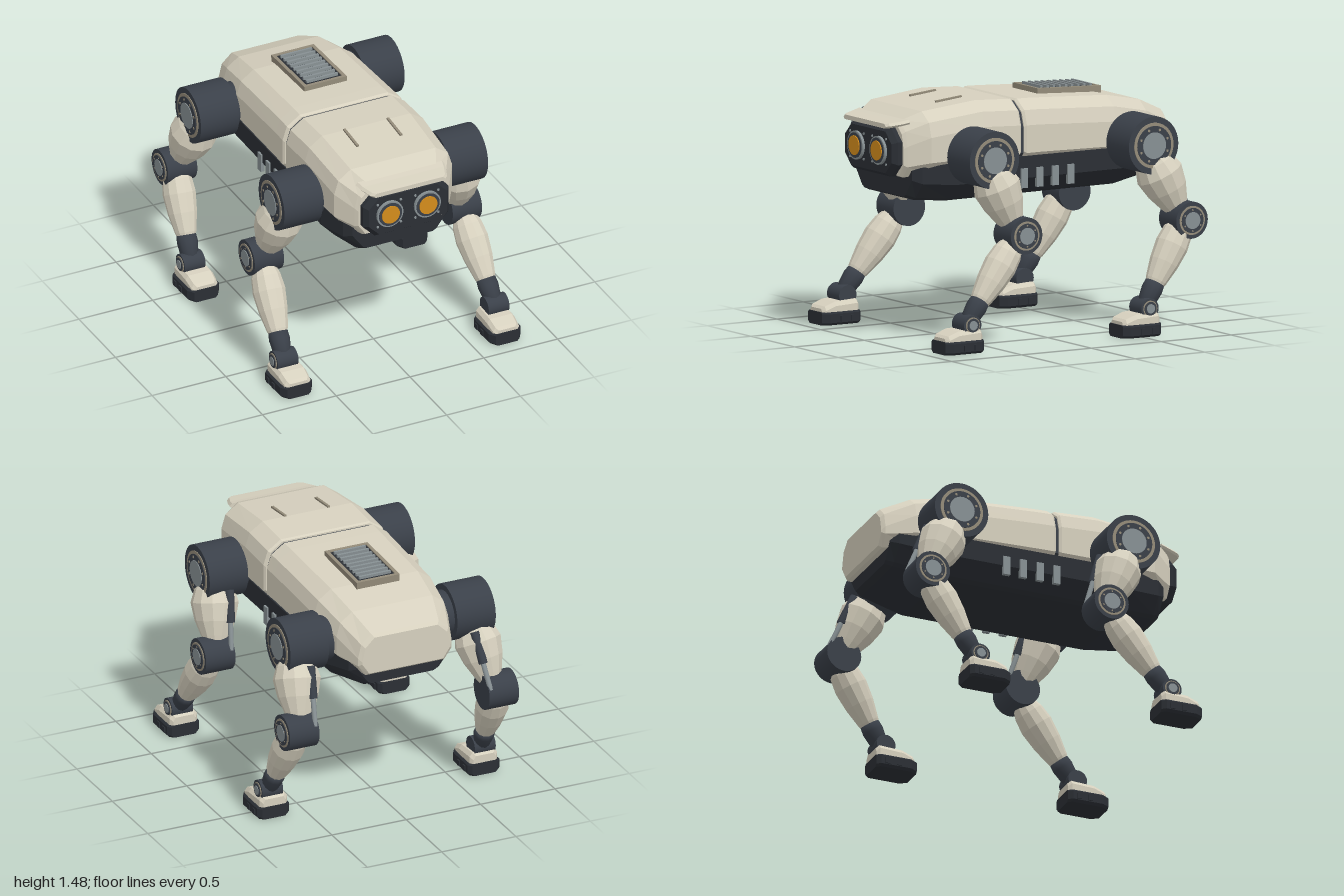
import * as THREE from 'three';

const mat = (name, color, flat = false) => {
  const m = new THREE.MeshStandardMaterial({ color, flatShading: flat });
  m.name = name;
  return m;
};
const shell = mat('shell cream', 0xd6d0be, true);
const dark = mat('joint slate', 0x3a4049);
const black = mat('belly charcoal', 0x2b2f35, true);
const grey = mat('metal grey', 0x879093);
const trim = mat('trim tan', 0x938b79);
const amber = mat('lens amber', 0xd48c1c);

function add(parent, name, geo, material, x = 0, y = 0, z = 0) {
  const m = new THREE.Mesh(geo, material);
  m.name = name;
  m.position.set(x, y, z);
  parent.add(m);
  return m;
}
const box = (w, h, d) => new THREE.BoxGeometry(w, h, d);

// symmetric cross-section: the right half listed from bottom to top, then mirrored
function section(half, z, cx = 0) {
  const left = half.map(([x, y]) => [-x, y]).reverse();
  return [...half, ...left].map(([x, y]) => [cx + x, y, z]);
}

// closed loft through sections ordered from back to front
function loft(rings) {
  const p = [], n = rings[0].length;
  for (let r = 0; r + 1 < rings.length; r++) {
    for (let i = 0; i < n; i++) {
      const j = (i + 1) % n, A = rings[r], B = rings[r + 1];
      p.push(...A[i], ...A[j], ...B[j], ...A[i], ...B[j], ...B[i]);
    }
  }
  const first = rings[0], last = rings[rings.length - 1];
  for (let i = 1; i + 1 < n; i++) {
    p.push(...last[0], ...last[i], ...last[i + 1]);
    p.push(...first[0], ...first[i + 1], ...first[i]);
  }
  const g = new THREE.BufferGeometry();
  g.setAttribute('position', new THREE.Float32BufferAttribute(p, 3));
  g.computeVertexNormals();
  return g;
}

const shellRing = ([z, w, top, bottom]) => section([
  [w * 0.84, bottom], [w, bottom + 0.07], [w, top - 0.15], [w * 0.93, top - 0.06], [w * 0.72, top],
], z);
const bellyRing = ([z, w, bottom, top]) => section([
  [w * 0.7, bottom], [w * 0.78, bottom + 0.015], [w, bottom + 0.11], [w, top],
], z);
const octRing = (z, w, h, cut, cy) => section([
  [w - cut, cy - h], [w, cy - h + cut], [w, cy + h - cut], [w - cut, cy + h],
], z);

// cylinder lying along x, or along z for the lenses
function drum(parent, name, x, y, z, r, len, material, axis = 'x') {
  const g = new THREE.CylinderGeometry(r, r, len, 40);
  if (axis === 'x') g.rotateZ(Math.PI / 2); else g.rotateX(Math.PI / 2);
  return add(parent, name, g, material, x, y, z);
}

// turned limb from lower point a towards upper point b; profile is [distance, radius]
function limb(parent, name, a, b, profile, material, sides = 12) {
  const g = new THREE.LatheGeometry(profile.map(([t, r]) => new THREE.Vector2(r, t)), sides);
  const m = add(parent, name, g, material, ...a);
  const dir = new THREE.Vector3(...b).sub(new THREE.Vector3(...a)).normalize();
  m.quaternion.setFromUnitVectors(new THREE.Vector3(0, 1, 0), dir);
  return m;
}

// round joint with a stepped, bolted cap on its outer end
function joint(parent, name, s, x0, x1, y, z, r, bolts) {
  const g = new THREE.Group();
  g.name = name;
  parent.add(g);
  drum(g, 'housing', s * (x0 + x1) / 2, y, z, r, x1 - x0, dark);
  [[0.79, trim], [0.68, dark], [0.46, grey]].forEach(([k, m], i) =>
    drum(g, 'cap', s * (x1 + 0.002 + i * 0.003), y, z, r * k, 0.005 + i * 0.002, m));
  for (let i = 0; i < bolts; i++) {
    const a = (i + 0.5) / bolts * Math.PI * 2;
    drum(g, 'bolt', s * (x1 + 0.007), y + Math.sin(a) * r * 0.57, z + Math.cos(a) * r * 0.57, r * 0.045, 0.008, trim);
  }
}

function leg(parent, name, s, hipZ, kneeZ, ankleZ) {
  const g = new THREE.Group();
  g.name = name;
  parent.add(g);
  const knee = [s * 0.673, 0.685, kneeZ], ankle = [s * 0.715, 0.17, ankleZ];

  drum(g, 'hipCollar', s * 0.41, 1.153, hipZ, 0.14, 0.08, dark);
  joint(g, 'hip', s, 0.432, 0.69, 1.153, hipZ, 0.177, 8);
  limb(g, 'thigh', [s * 0.65, 0.685, kneeZ], [s * 0.58, 1.153, hipZ],
    [[0.05, 0], [0.05, 0.065], [0.11, 0.09], [0.2, 0.125], [0.31, 0.147], [0.39, 0.122], [0.46, 0.08], [0.46, 0]], shell);
  joint(g, 'knee', s, 0.572, 0.77, 0.685, kneeZ, 0.113, 6);
  limb(g, 'shin', ankle, knee,
    [[0.15, 0], [0.15, 0.055], [0.18, 0.066], [0.3, 0.09], [0.42, 0.102], [0.51, 0.092], [0.575, 0.07], [0.575, 0]], shell);
  limb(g, 'ankleStrut', ankle, knee, [[0, 0], [0, 0.05], [0.12, 0.065], [0.17, 0.06], [0.17, 0]], dark);
  joint(g, 'ankle', s, 0.645, 0.785, 0.17, ankleZ, 0.062, 0);

  // push rod behind the thigh
  const low = [s * 0.59, 0.73, kneeZ - 0.09], high = [s * 0.55, 1.08, hipZ - 0.16];
  limb(g, 'pushRod', low, high, [[0, 0], [0, 0.016], [0.25, 0.016], [0.25, 0]], grey);
  limb(g, 'rodSleeve', low, high, [[0.17, 0], [0.17, 0.028], [0.37, 0.028], [0.37, 0]], dark);

  // foot: dark sole with side studs, cream upper
  const cx = s * 0.707;
  add(g, 'sole', loft([[-0.075, 0.085], [-0.05, 0.108], [0.15, 0.108], [0.195, 0.08]].map(([z, w]) =>
    section([[w - 0.015, 0], [w, 0.015], [w, 0.07], [w - 0.01, 0.08]], ankleZ + z, cx))), black);
  add(g, 'footUpper', loft([[-0.07, 0.075, 0.13], [-0.05, 0.093, 0.148], [0.1, 0.093, 0.14], [0.17, 0.088, 0.115], [0.188, 0.07, 0.1]].map(([z, w, top]) =>
    section([[w, 0.078], [w, top - 0.025], [w * 0.8, top]], ankleZ + z, cx))), shell);
  for (const side of [-1, 1]) for (const z of [-0.01, 0.065])
    add(g, 'soleStud', box(0.014, 0.036, 0.03), black, cx + side * 0.108, 0.038, ankleZ + z);
}

export function createModel() {
  const model = new THREE.Group();
  model.name = 'robotQuadruped';

  // body shells, seam and belly
  add(model, 'rearShell', loft([
    [-1, 0.295, 1.27, 1.035], [-0.98, 0.315, 1.29, 1.02], [-0.8, 0.375, 1.37, 1.035], [-0.55, 0.405, 1.42, 1.05],
    [0, 0.412, 1.448, 1.06], [0.095, 0.415, 1.45, 1.06], [0.11, 0.405, 1.44, 1.07]].map(shellRing)), shell);
  add(model, 'frontShell', loft([
    [0.13, 0.405, 1.445, 1.07], [0.145, 0.415, 1.453, 1.06], [0.4, 0.415, 1.465, 1.06],
    [0.77, 0.4, 1.425, 1.05], [0.89, 0.32, 1.37, 1.025], [0.91, 0.305, 1.355, 1.035]].map(shellRing)), shell);
  add(model, 'seam', loft([[0.1, 0.398, 1.435, 1.06], [0.14, 0.398, 1.435, 1.06]].map(shellRing)), dark);
  add(model, 'belly', loft([
    [-0.945, 0.3, 0.94, 1.08], [-0.9, 0.34, 0.92, 1.1], [-0.6, 0.405, 0.87, 1.11], [0.6, 0.405, 0.863, 1.11],
    [0.81, 0.36, 0.88, 1.09], [0.86, 0.32, 0.9, 1.07]].map(bellyRing)), black);

  // face plate, brow and lenses
  add(model, 'facePlate', loft([
    octRing(0.88, 0.29, 0.15, 0.08, 1.177), octRing(0.94, 0.29, 0.15, 0.08, 1.177),
    octRing(0.972, 0.265, 0.128, 0.07, 1.177)]), black);
  add(model, 'brow', loft([[0.86, 0.3, 1.365], [0.91, 0.288, 1.355], [0.98, 0.262, 1.345], [0.998, 0.24, 1.342]].map(([z, w, y]) =>
    section([[w - 0.01, y - 0.012], [w, y], [w - 0.015, y + 0.016]], z))), shell);
  for (const s of [-1, 1]) {
    const x = s * 0.127;
    drum(model, 'lensRing', x, 1.182, 0.974, 0.088, 0.03, grey, 'z');
    drum(model, 'lensBezel', x, 1.182, 0.989, 0.078, 0.006, dark, 'z');
    drum(model, 'lens', x, 1.182, 0.992, 0.06, 0.012, amber, 'z');
    for (const dx of [-1, 1]) for (const dy of [-1, 1])
      drum(model, 'faceBolt', x + dx * 0.078, 1.182 + dy * 0.078, 0.973, 0.008, 0.008, grey, 'z');
    // hood rails
    add(model, 'hoodRail', box(0.016, 0.02, 0.185), trim, s * 0.147, 1.456, 0.49).rotation.x = 0.1;
    // belly side ribs
    for (let i = 0; i < 4; i++)
      add(model, 'sideRib', box(0.025, 0.12, 0.045), grey, s * 0.405, 0.977, 0.113 - i * 0.111);
  }

  // slatted top vent
  const vent = new THREE.Group();
  vent.name = 'topVent';
  vent.position.set(0, 1.44, -0.378);
  vent.rotation.x = -0.04;
  model.add(vent);
  for (const s of [-1, 1]) {
    add(vent, 'ventSide', box(0.022, 0.046, 0.455), trim, s * 0.133, 0, 0);
    add(vent, 'ventEnd', box(0.25, 0.046, 0.022), trim, 0, 0, s * 0.2165);
  }
  add(vent, 'ventBed', box(0.25, 0.04, 0.42), black, 0, -0.003, 0);
  for (let i = 0; i < 9; i++)
    add(vent, 'ventSlat', box(0.212, 0.022, 0.016), grey, 0, 0.023, -0.176 + i * 0.044);

  // legs
  for (const s of [-1, 1]) {
    const side = s > 0 ? 'Left' : 'Right';
    leg(model, 'front' + side + 'Leg', s, 0.5, 0.32, 0.715);
    leg(model, 'rear' + side + 'Leg', s, -0.64, -0.865, -0.555);
  }
  return model;
}
